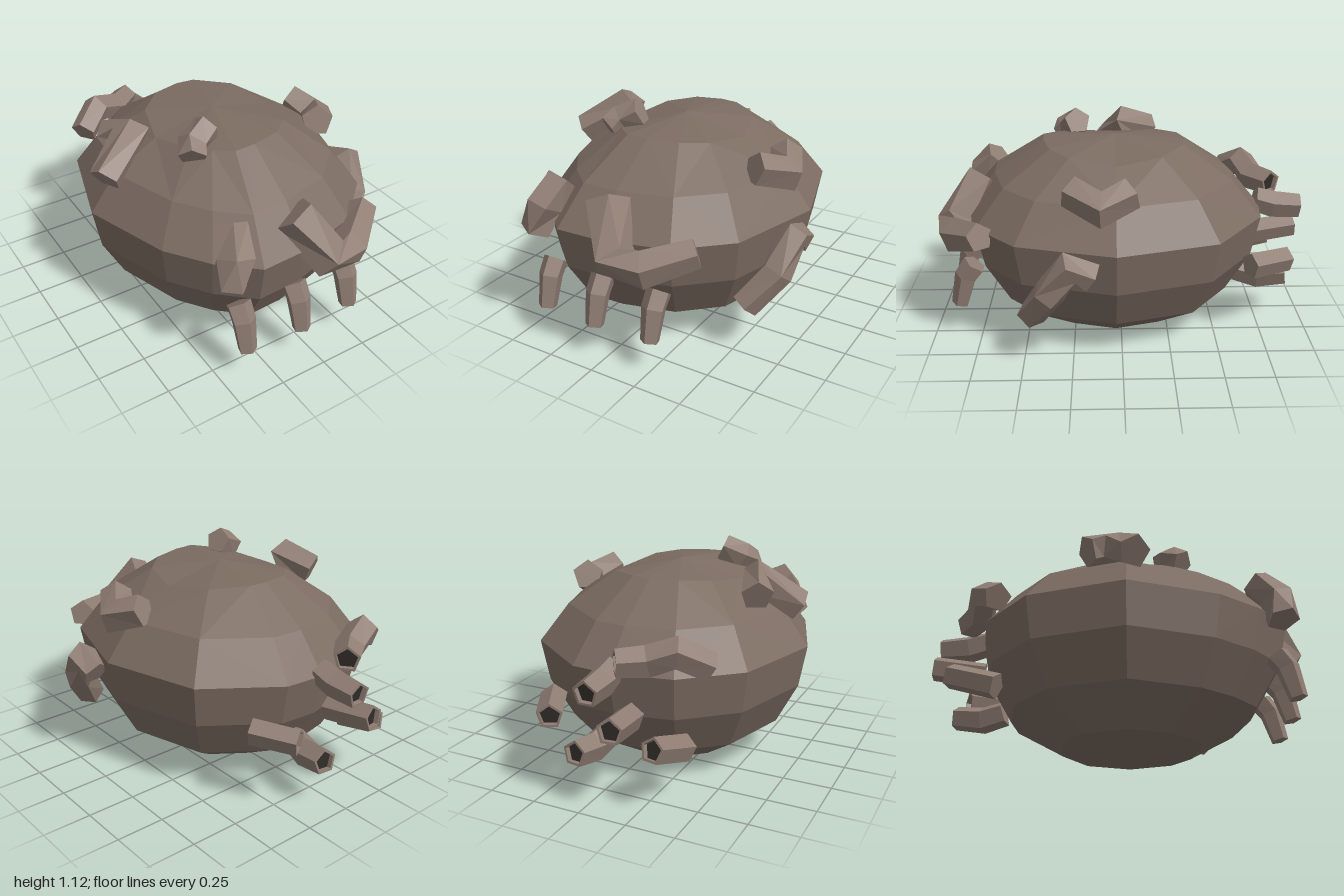
import * as THREE from 'three';

const V = (a) => new THREE.Vector3(...a);
const bodyMat = new THREE.MeshStandardMaterial({ color: 0x7c6c62, flatShading: true });
const limbMat = new THREE.MeshStandardMaterial({ color: 0x8f7d73, flatShading: true });
const mouthMat = new THREE.MeshStandardMaterial({ color: 0x2f2a27 });

// Join rings of equal size with flat triangles and fan-close both ends
function skin(rings, startTip, endTip, mat, name) {
  const pos = [];
  const tri = (...pts) => pts.forEach((p) => pos.push(p.x, p.y, p.z));
  const n = rings[0].length;
  for (let j = 0; j < n; j++) {
    const k = (j + 1) % n;
    for (let i = 0; i < rings.length - 1; i++) {
      const a = rings[i][j], b = rings[i][k], c = rings[i + 1][k], d = rings[i + 1][j];
      if ((i + j) % 2) { tri(a, b, d); tri(b, c, d); }
      else { tri(a, b, c); tri(a, c, d); }
    }
    tri(startTip, rings[0][k], rings[0][j]);
    tri(endTip, rings.at(-1)[j], rings.at(-1)[k]);
  }
  const geo = new THREE.BufferGeometry();
  geo.setAttribute('position', new THREE.Float32BufferAttribute(pos, 3));
  geo.computeVertexNormals();
  const mesh = new THREE.Mesh(geo, mat);
  mesh.name = name;
  return mesh;
}

// Five-sided limb along a path; hollow limbs get a dark recess in the far end
function limb(name, path, r0, r1 = r0, hollow = false) {
  const pts = path.map(V);
  const last = pts.length - 1;
  const up = new THREE.Vector3(0, 1, 0);
  const ring = (p, t, r) => {
    const side = t.clone().cross(up).normalize();
    const n = side.clone().cross(t);
    const b = t.clone().cross(n);
    return Array.from({ length: 5 }, (_, j) => {
      const a = (j / 5) * Math.PI * 2;
      return p.clone().addScaledVector(n, r * Math.cos(a)).addScaledVector(b, r * Math.sin(a));
    });
  };
  const tangent = (i) => pts[Math.min(i + 1, last)].clone().sub(pts[Math.max(i - 1, 0)]).normalize();
  const rings = pts.map((p, i) => {
    const elbow = i > 0 && i < last ? 1.1 : 1;
    return ring(p, tangent(i), THREE.MathUtils.lerp(r0, r1, i / last) * elbow);
  });
  if (!hollow) return skin(rings, pts[0], pts[last], limbMat, name);

  const t = tangent(last);
  const inner = r1 * 0.8;
  const floor = pts[last].clone().addScaledVector(t, -0.03);
  rings.push(ring(pts[last], t, inner), ring(floor, t, inner));
  const mesh = skin(rings, pts[0], floor, limbMat, name);
  const mouth = new THREE.Mesh(new THREE.CircleGeometry(inner, 5), mouthMat);
  mouth.name = 'mouth';
  mouth.position.copy(floor).addScaledVector(t, 0.004);
  mouth.lookAt(mouth.position.clone().add(t));
  mouth.rotateZ(Math.PI / 2);
  mesh.add(mouth);
  return mesh;
}

// Faceted body: one plan outline scaled at each height, top ring higher front and back
function body() {
  const outline = [[0.68, 0.03], [0.54, 0.53], [0.3, 0.75], [-0.04, 0.84], [-0.28, 0.85],
    [-0.46, 0.69], [-0.61, 0.48], [-0.76, 0.03], [-0.62, -0.46], [-0.35, -0.7],
    [-0.04, -0.76], [0.17, -0.74], [0.53, -0.48]].reverse();
  const levels = [[0.02, 0.45], [0.18, 0.785], [0.4, 0.945], [0.62, 1], [0.81, 0.8], [0.94, 0.47]];
  const cx = -0.05, cz = 0.03;
  const rings = levels.map(([y, s], i) => outline.map(([x, z]) => {
    const lift = i === 5 ? 0.06 * Math.abs(z - cz) : 0;
    return new THREE.Vector3(cx + (x - cx) * s, y + lift, cz + (z - cz) * s);
  }));
  return skin(rings, V([cx, 0, cz]), V([cx, 1.02, cz]), bodyMat, 'body');
}

export function createModel() {
  const g = new THREE.Group();
  g.name = 'creature';
  g.add(body());

  // Three tapered feet along the front
  for (const [x, z] of [[-0.37, 0.77], [-0.06, 0.79], [0.25, 0.77]])
    g.add(limb('frontFoot', [[x, 0.4, z], [x, 0.33, z + 0.05], [x, 0.17, z + 0.09]], 0.065, 0.048));

  // Bent limbs lying on the body
  g.add(limb('frontArm', [[-0.05, 0.78, 0.74], [0.07, 0.57, 0.88], [0.22, 0.55, 0.86], [0.42, 0.62, 0.71]], 0.11, 0.075));
  g.add(limb('frontRightLimb', [[-0.37, 0.81, 0.69], [-0.4, 0.7, 0.79], [-0.44, 0.565, 0.81]], 0.085));
  g.add(limb('leftSideLimb', [[0.68, 0.52, 0.15], [0.69, 0.58, 0.25], [0.66, 0.42, 0.36], [0.54, 0.25, 0.46]], 0.075));
  g.add(limb('leftShoulderLimb', [[0.47, 0.88, 0.25], [0.57, 0.82, 0.1], [0.5, 0.88, -0.04]], 0.085));
  g.add(limb('rightShoulderLimb', [[-0.69, 0.82, 0.07], [-0.48, 0.97, -0.04], [-0.55, 0.91, -0.17]], 0.085));
  g.add(limb('topLimb', [[-0.34, 0.96, 0.32], [-0.3, 1.0, 0.26], [-0.2, 1.05, 0.23]], 0.073));
  g.add(limb('backArm', [[-0.5, 0.68, -0.62], [-0.37, 0.76, -0.71], [-0.24, 0.71, -0.75], [-0.12, 0.71, -0.84]], 0.075, 0.07, true));

  // Hollow tubes at the back
  const tubes = [
    [[-0.05, 0.64, -0.74], [-0.05, 0.61, -0.84], [-0.05, 0.6, -0.99]],
    [[-0.14, 0.41, -0.73], [-0.17, 0.44, -0.99]],
    [[0.33, 0.41, -0.67], [0.22, 0.4, -0.88]],
    [[0.03, 0.26, -0.64], [0.05, 0.23, -0.76], [0.07, 0.25, -0.91]],
    [[-0.37, 0.25, -0.62], [-0.32, 0.33, -0.87]],
  ];
  for (const path of tubes) g.add(limb('backTube', path, 0.07, 0.067, true));
  return g;
}
